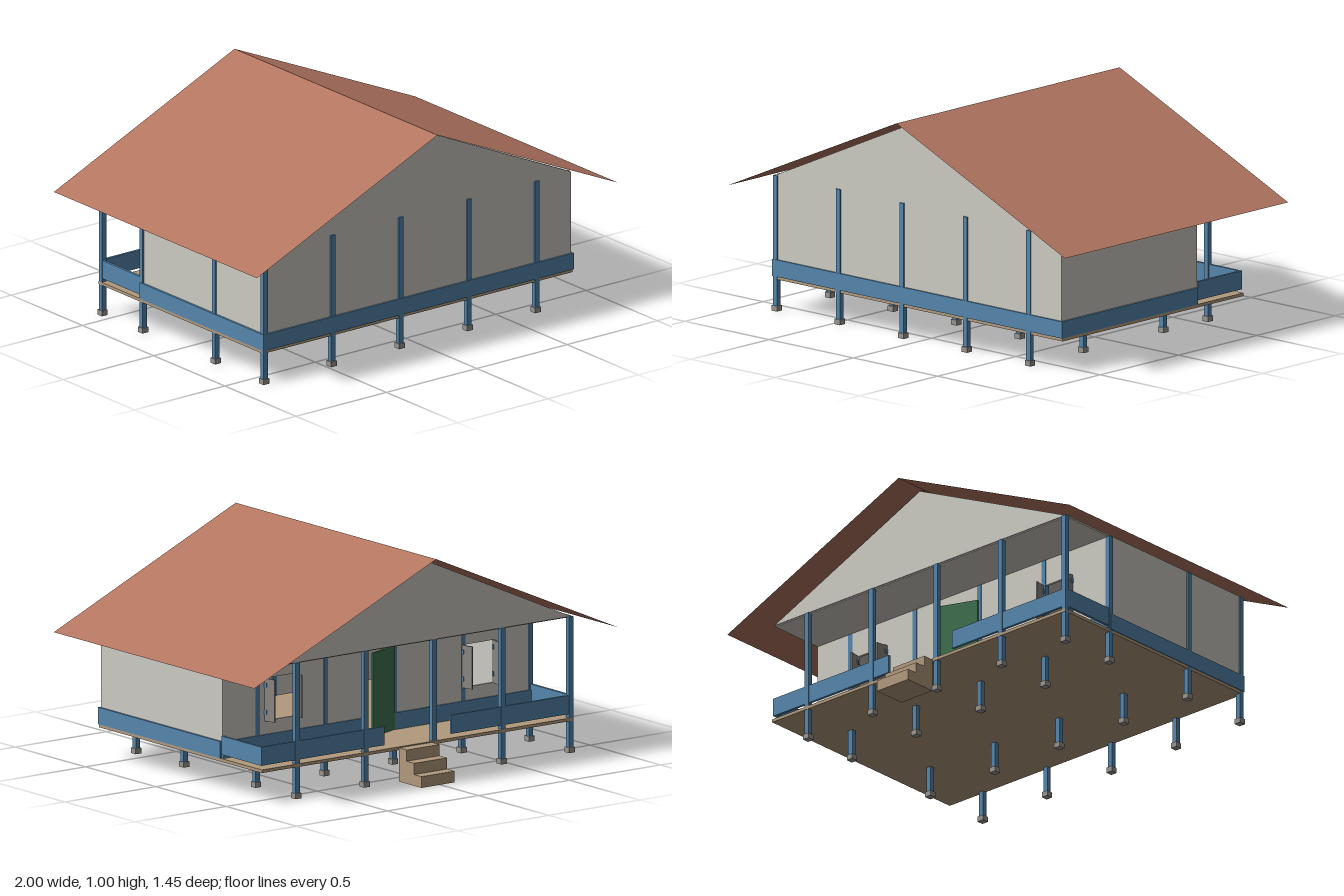
import * as THREE from 'three';

const mat = (name, color, side = THREE.FrontSide) => {
  const m = new THREE.MeshStandardMaterial({ color, side });
  m.name = name;
  return m;
};

export function createModel() {
  const house = new THREE.Group();
  house.name = 'stiltHouse';
  const wall = mat('wallGrey', 0xcbcac2);
  const blue = mat('paintedBlue', 0x5585ab);
  const tan = mat('timberTan', 0xb1997d);
  const roofRed = mat('roofTerracotta', 0xb27560, THREE.DoubleSide);
  const green = mat('doorGreen', 0x3f7350);
  const stone = mat('footingGrey', 0x999590);
  const pane = mat('shutterGrey', 0x8a8580);

  const add = (name, geo, m, parent = house) => {
    const mesh = new THREE.Mesh(geo, m);
    mesh.name = name;
    parent.add(mesh);
    return mesh;
  };
  // box given by its minimum and maximum on each axis
  const box = (name, m, x0, x1, y0, y1, z0, z1, parent = house) => {
    const mesh = add(name, new THREE.BoxGeometry(x1 - x0, y1 - y0, z1 - z0), m, parent);
    mesh.position.set((x0 + x1) / 2, (y0 + y1) / 2, (z0 + z1) / 2);
    return mesh;
  };
  const shapeOf = pts => new THREE.Shape(pts.map(p => new THREE.Vector2(...p)));
  const extrude = (shape, depth) => new THREE.ExtrudeGeometry(shape, { depth, bevelEnabled: false });

  const W = 0.85, FLOOR = 0.155, EAVE = 0.605, APEX = 0.985;
  const FRONT = 0.585, BACK = -0.28, PORCH = -0.555;

  // floor deck, including the porch
  box('deck', tan, -0.857, 0.857, 0.141, FLOOR, -0.568, 0.587);

  // posts and footings on a 5 by 4 grid
  for (const z of [0.58, 0.24, -0.27, PORCH]) {
    for (const x of [-0.845, -0.472, -0.095, 0.282, 0.658]) {
      box('post', blue, x - 0.012, x + 0.012, 0.02, EAVE, z - 0.011, z + 0.011);
      box('footing', stone, x - 0.016, x + 0.016, 0, 0.024, z - 0.016, z + 0.016);
    }
  }

  // front gable wall and the porch gable
  const front = shapeOf([[-W, FLOOR], [W, FLOOR], [W, EAVE], [0, APEX], [-W, EAVE]]);
  add('frontWall', extrude(front, 0.012), wall).position.z = FRONT - 0.012;
  const gable = shapeOf([[-W, EAVE], [W, EAVE], [0, APEX]]);
  add('porchGable', extrude(gable, 0.012), wall).position.z = PORCH - 0.006;
  box('ceiling', wall, -W, W, EAVE - 0.004, EAVE + 0.004, PORCH, FRONT - 0.012);
  box('ridgeBeam', stone, -0.007, 0.007, 0.975, 0.989, PORCH, FRONT + 0.003);

  // side walls
  for (const s of [-1, 1]) {
    const x = s * (W - 0.006);
    box('sideWall', wall, x - 0.006, x + 0.006, FLOOR, EAVE, BACK, FRONT - 0.012);
  }

  // back wall with a doorway and two window openings
  const windows = [0.53, -0.555], HALF = 0.085;
  const back = shapeOf([[-W, FLOOR], [-0.092, FLOOR], [-0.092, 0.53], [0.085, 0.53],
    [0.085, FLOOR], [W, FLOOR], [W, EAVE], [-W, EAVE]]);
  for (const c of windows) {
    back.holes.push(new THREE.Path([[c - HALF, 0.29], [c - HALF, 0.48], [c + HALF, 0.48], [c + HALF, 0.29]]
      .map(p => new THREE.Vector2(...p))));
  }
  add('backWall', extrude(back, 0.012), wall).position.z = BACK;

  // open window leaves with hinges
  for (const c of windows) {
    for (const s of [-1, 1]) {
      const leaf = new THREE.Group();
      leaf.name = 'windowLeaf';
      leaf.position.set(c + s * HALF, 0, BACK);
      leaf.rotation.y = s * 0.2;
      box('leafPanel', pane, -0.004, 0.004, 0.29, 0.48, -0.056, 0, leaf);
      for (const y of [0.33, 0.45]) box('hinge', blue, -0.007, 0.007, y - 0.01, y + 0.01, -0.012, 0, leaf);
      house.add(leaf);
    }
  }

  // door standing ajar
  const door = new THREE.Group();
  door.name = 'door';
  door.position.set(-0.09, 0, BACK);
  door.rotation.y = 0.35;
  box('doorLeaf', green, 0, 0.18, FLOOR + 0.002, 0.53, -0.008, 0, door);
  house.add(door);

  // blue skirting band around the walls
  box('frontBand', blue, -0.86, 0.86, FLOOR, 0.23, FRONT, 0.593);
  for (const s of [-1, 1]) {
    const x = s * 0.8545;
    box('sideBand', blue, x - 0.0055, x + 0.0055, FLOOR, 0.23, BACK + 0.005, FRONT);
    // porch side rail
    box('sideRail', blue, s * 0.849 - 0.006, s * 0.849 + 0.006, 0.172, 0.255, PORCH, BACK);
  }
  box('backBand', blue, -W, -0.092, FLOOR, 0.23, BACK - 0.006, BACK);
  box('backBand', blue, 0.085, W, FLOOR, 0.23, BACK - 0.006, BACK);

  // porch rails on both sides of the steps
  box('backRail', blue, -0.855, -0.19, 0.172, 0.255, PORCH - 0.008, PORCH + 0.004);
  box('backRail', blue, 0.18, 0.855, 0.172, 0.255, PORCH - 0.008, PORCH + 0.004);

  // steps
  [0.05, 0.1, 0.15].forEach((y, i) => {
    const z = -0.727 + i * 0.053;
    box('step', tan, -0.08, 0.102, 0, y, z, i === 2 ? -0.568 : z + 0.053);
  });

  // two thin roof sheets meeting at the ridge
  for (const s of [-1, 1]) {
    const sheet = new THREE.PlaneGeometry(1, 1.425);
    const p = sheet.attributes.position;
    for (let i = 0; i < p.count; i++) {
      const t = p.getX(i) * s + 0.5; // 0 at ridge, 1 at eave
      p.setXYZ(i, s * t, 1 - 0.44 * t, 0.0125 - p.getY(i));
    }
    sheet.computeVertexNormals();
    add('roofSheet', sheet, roofRed);
  }
  return house;
}
